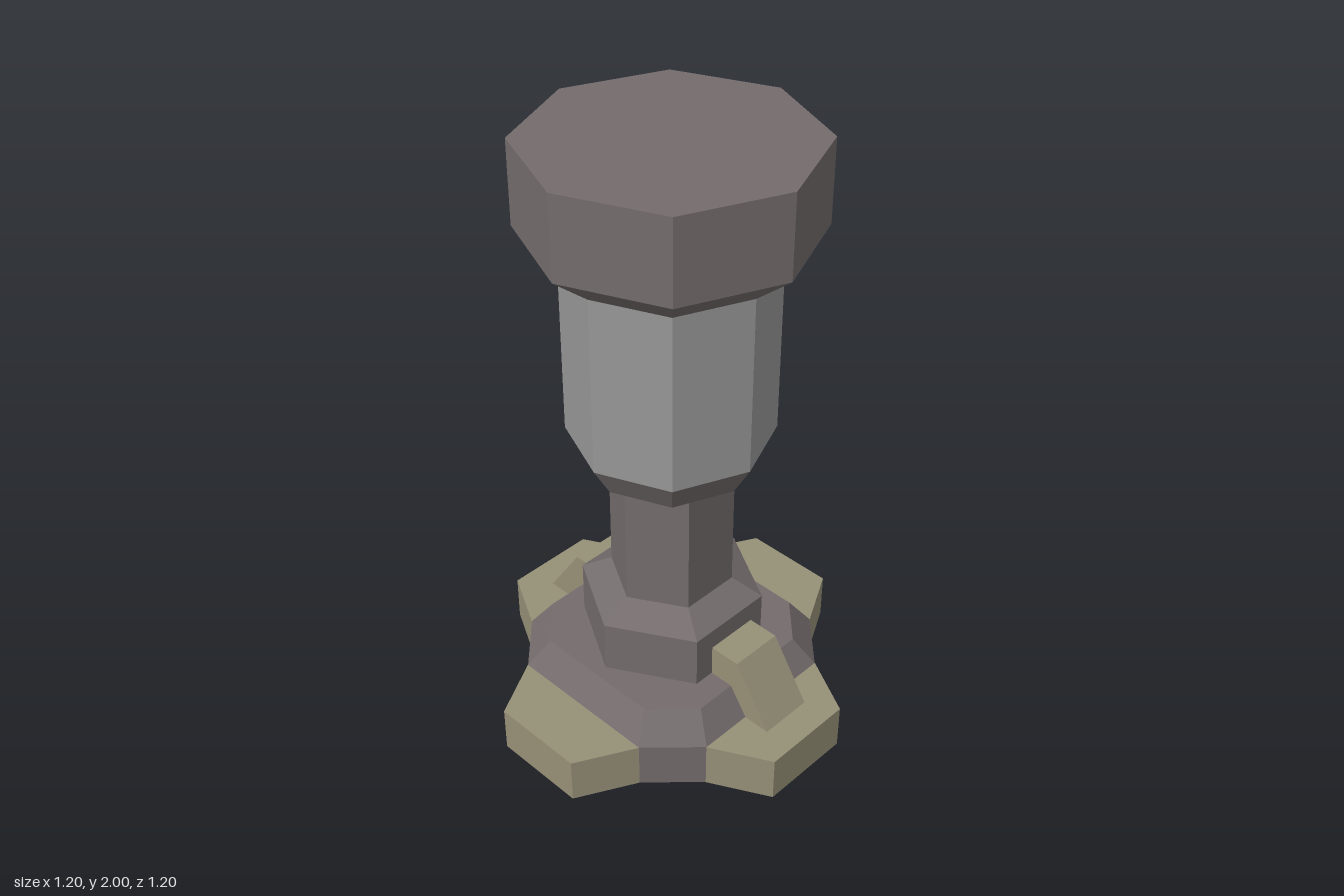
import * as THREE from 'three';

const material = (name, color) => {
  const m = new THREE.MeshStandardMaterial({ color });
  m.name = name;
  return m;
};

// Split all faces so every facet has its own flat normal
function faceted(geometry) {
  const flat = geometry.index ? geometry.toNonIndexed() : geometry;
  flat.computeVertexNormals();
  return flat;
}

// Faceted turned solid from [radius, height] pairs, listed bottom to top
function turned(profile, sides, phiStart = 0) {
  const points = profile.map(([r, y]) => new THREE.Vector2(r, y));
  return new THREE.LatheGeometry(points, sides, phiStart);
}

function extruded(points, depth) {
  const shape = new THREE.Shape(points.map(([x, y]) => new THREE.Vector2(x, y)));
  return new THREE.ExtrudeGeometry(shape, { depth, bevelEnabled: false });
}

export function createModel() {
  const group = new THREE.Group();
  group.name = 'pedestalColumn';
  const dark = material('darkMetal', 0x746c6c);
  const grey = material('greyMetal', 0x979797);
  const olive = material('olivePanel', 0x969077);

  const add = (name, geometry, mat) => {
    const mesh = new THREE.Mesh(faceted(geometry), mat);
    mesh.name = name;
    group.add(mesh);
    return mesh;
  };

  // Base: octagon with long sides facing the axes and short diagonal corners
  const toRadius = 1 / Math.cos(Math.PI / 8);
  const base = turned(
    [[0, 0], [0.408 * toRadius, 0], [0.408 * toRadius, 0.16], [0.343 * toRadius, 0.253], [0, 0.253]],
    8, Math.PI / 8);
  const pos = base.attributes.position;
  const widen = 0.635 / Math.tan(Math.PI / 8);
  for (let i = 0; i < pos.count; i++) {
    const x = pos.getX(i), z = pos.getZ(i);
    if (Math.abs(x) < Math.abs(z)) pos.setX(i, x * widen);
    else pos.setZ(i, z * widen);
  }
  add('base', base, dark);

  // Four feet around the base
  for (let i = 0; i < 4; i++) {
    const foot = extruded([[-0.26, -0.408], [-0.157, -0.6], [0.157, -0.6], [0.26, -0.408]], 0.16);
    foot.rotateX(-Math.PI / 2);
    foot.rotateY(i * Math.PI / 2);
    add('foot' + (i + 1), foot, olive);
  }

  // Sloped braces on the left and right
  for (const side of [-1, 1]) {
    const outline = [[0.2, 0.16], [0.5, 0.16], [0.365, 0.362], [0.2, 0.362]];
    const brace = extruded(outline.map(([x, y]) => [x * side, y]), 0.18);
    brace.translate(0, 0, -0.1);
    add(side > 0 ? 'leftBrace' : 'rightBrace', brace, olive);
  }

  // Hexagonal collar and post
  add('collar', turned([[0.3, 0.253], [0.3, 0.433], [0.2, 0.49]], 6), dark);
  add('post', turned([[0.2, 0.49], [0.2, 0.945]], 6), dark);

  // Octagonal drum with its lower bevel
  add('drumBevel', turned([[0, 0.945], [0.26, 0.945], [0.32, 1.05]], 8), dark);
  add('drum', turned([[0.32, 1.05], [0.32, 1.635]], 8), grey);

  // Wide cap
  add('cap', turned([[0.32, 1.635], [0.442, 1.737], [0.442, 2], [0, 2]], 8), dark);

  return group;
}
